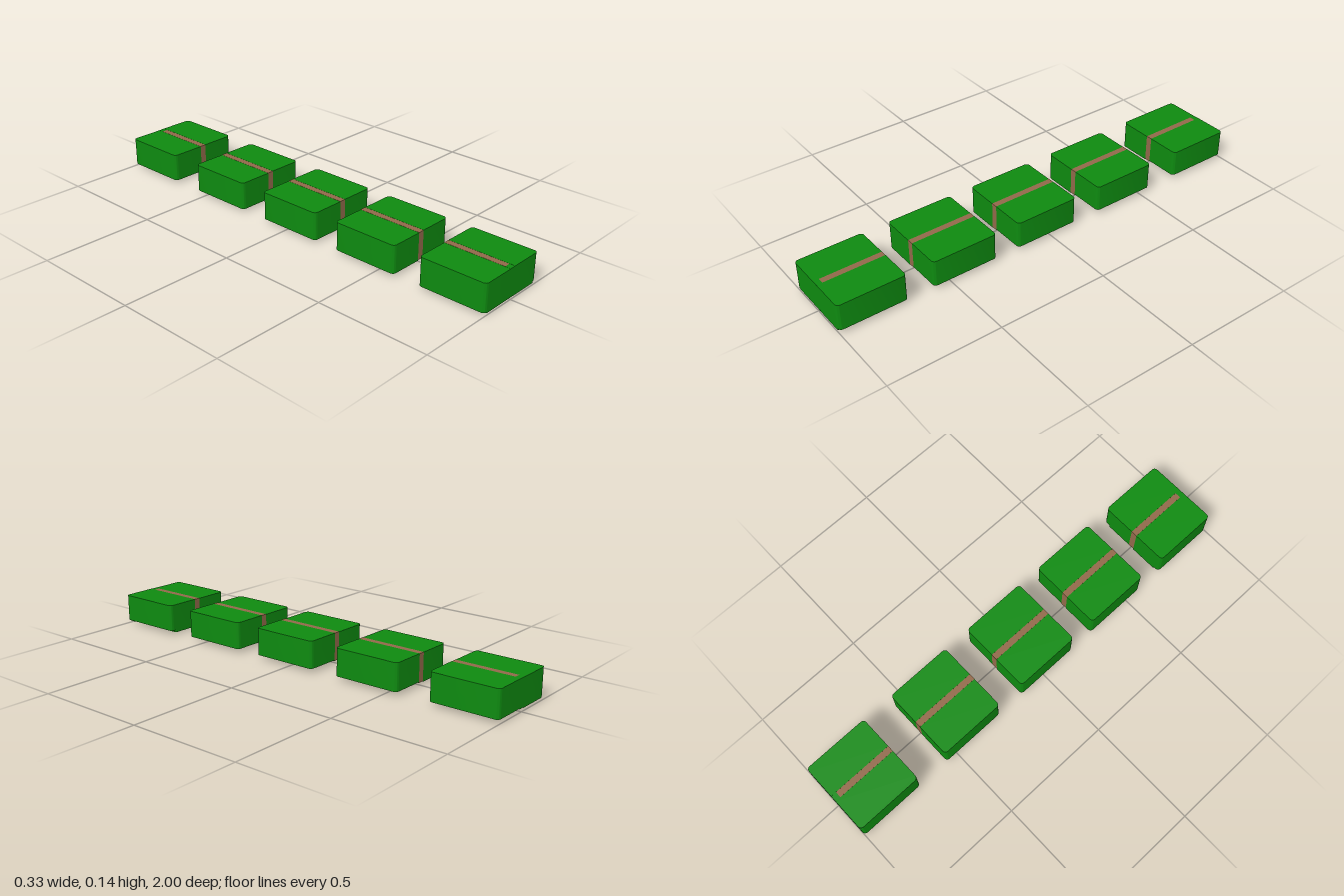
import * as THREE from 'three';
import { toCreasedNormals } from 'three/addons/utils/BufferGeometryUtils.js';

const green = new THREE.MeshStandardMaterial({ color: 0x0e8a10 });
const brown = new THREE.MeshStandardMaterial({ color: 0x91694a });

const HALF_X = 0.167, HALF_Z = 0.15, STRAP = 0.014, INSET = 0.027;

function box(name, material, x0, x1, y0, y1, z0, z1) {
  const mesh = new THREE.Mesh(new THREE.BoxGeometry(x1 - x0, y1 - y0, z1 - z0), material);
  mesh.position.set((x0 + x1) / 2, (y0 + y1) / 2, (z0 + z1) / 2);
  mesh.name = name;
  return mesh;
}

// Upright slab with its two outer corners rounded; side is +1 (left) or -1 (right)
function halfSlab(name, side, outer, z0, z1, y0, y1, r) {
  const a = side > 0 ? STRAP : -outer, b = side > 0 ? outer : -STRAP;
  const s = new THREE.Shape();
  // shape y is -z, so that rotating it lays the slab flat
  if (side > 0) {
    s.moveTo(a, -z1);
    s.lineTo(b - r, -z1);
    s.absarc(b - r, -z1 + r, r, -Math.PI / 2, 0);
    s.absarc(b - r, -z0 - r, r, 0, Math.PI / 2);
    s.lineTo(a, -z0);
  } else {
    s.moveTo(b, -z0);
    s.lineTo(a + r, -z0);
    s.absarc(a + r, -z0 - r, r, Math.PI / 2, Math.PI);
    s.absarc(a + r, -z1 + r, r, Math.PI, Math.PI * 1.5);
    s.lineTo(b, -z1);
  }
  s.closePath();
  const geo = new THREE.ExtrudeGeometry(s, { depth: y1 - y0, bevelEnabled: false, curveSegments: 6 });
  geo.rotateX(-Math.PI / 2);
  const mesh = new THREE.Mesh(toCreasedNormals(geo, 0.6), green);
  mesh.position.y = y0;
  mesh.name = name;
  return mesh;
}

// end: +1 for the front block, -1 for the rear block, 0 between them
function makeBlock(end) {
  const block = new THREE.Group();
  const baseBack = end > 0 ? -HALF_Z : -HALF_Z + INSET;
  const baseFront = end > 0 ? 0.097 : HALF_Z - INSET;

  // Two halves on either side of the strap, one a little lower than the other
  for (const side of [1, -1]) {
    const name = side > 0 ? 'left' : 'right';
    const drop = side > 0 ? 0 : 0.0055;
    block.add(halfSlab(name + 'Body', side, HALF_X, -HALF_Z, HALF_Z, 0.017 - drop, 0.136 - drop / 5, 0.016));
    block.add(halfSlab(name + 'Base', side, 0.14, baseBack, baseFront, 0.0055 - drop, 0.03, 0.006));
  }

  // Strap between the halves; it stops short of the closed end of the chain
  const z0 = end < 0 ? -0.125 : -HALF_Z, z1 = end > 0 ? 0.125 : HALF_Z;
  block.add(box('strap', brown, -STRAP, STRAP, 0.014, 0.1355, z0, z1));
  block.add(box('strapUnderside', brown, -STRAP, STRAP, 0.006, 0.03, baseBack, baseFront));

  // Wall closing the outer end of the first and last block
  if (end > 0) {
    block.add(box('endWall', green, -STRAP, STRAP, 0.012, 0.1355, z1, HALF_Z));
    block.add(box('frontLip', green, -0.15, 0.15, 0.008, 0.03, 0.122, HALF_Z - 0.0005));
  } else if (end < 0) {
    block.add(box('endWall', green, -STRAP, STRAP, 0.014, 0.1355, -HALF_Z, z0));
  }
  return block;
}

export function createModel() {
  const model = new THREE.Group();
  model.name = 'blockRow';
  const centres = [0.85, 0.43, 0.02, -0.404, -0.85];
  centres.forEach((z, i) => {
    const block = makeBlock(i === 0 ? 1 : i === centres.length - 1 ? -1 : 0);
    block.position.z = z;
    block.name = 'block' + (i + 1);
    model.add(block);
  });
  return model;
}
